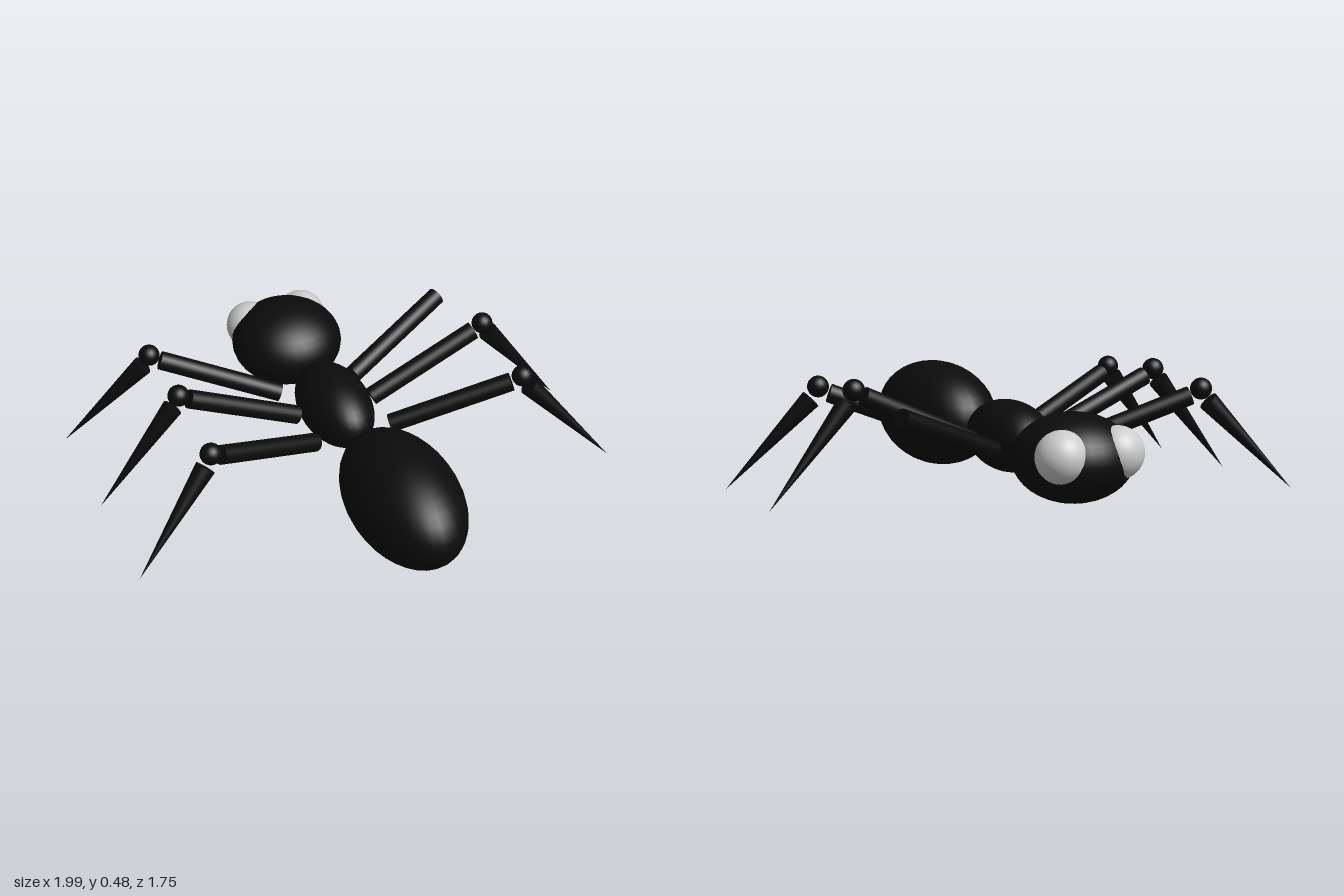
import * as THREE from 'three';

const black = new THREE.MeshStandardMaterial({ color: 0x0b0b0b });
const grey = new THREE.MeshStandardMaterial({ color: 0xcccccc });
const UP = new THREE.Vector3(0, 1, 0);

function ellipsoid(name, center, radii, material = black) {
  const mesh = new THREE.Mesh(new THREE.SphereGeometry(1, 32, 20), material);
  mesh.name = name;
  mesh.position.set(...center);
  mesh.scale.set(...radii);
  return mesh;
}

// Straight round bar from a to b, radius ra at a and rb at b
function limb(name, a, b, ra, rb) {
  const dir = b.clone().sub(a);
  const mesh = new THREE.Mesh(new THREE.CylinderGeometry(rb, ra, dir.length(), 24), black);
  mesh.name = name;
  mesh.position.copy(a).add(b).multiplyScalar(0.5);
  mesh.quaternion.setFromUnitVectors(UP, dir.normalize());
  return mesh;
}

// Leg leaving the thorax at z0, fanning by slope (dz per dx); drop lowers the knee
function leg(name, side, z0, slope, drop, whole = true) {
  const group = new THREE.Group();
  group.name = name;
  const at = (x, y) => new THREE.Vector3(side * x, y, z0 + slope * x);
  group.add(limb('upperLeg', at(0.16, 0.21 - drop * 0.3), at(0.605, 0.41 - drop), 0.037, 0.037));
  if (whole) {
    const knee = at(0.645, 0.436 - drop);
    group.add(ellipsoid('knee', knee.toArray(), [0.042, 0.042, 0.042]));
    group.add(limb('lowerLeg', at(0.672, 0.388 - drop), at(0.986, 0.008), 0.04, 0));
  }
  return group;
}

export function createModel() {
  const model = new THREE.Group();
  model.name = 'ant';
  const body = new THREE.Group();
  body.name = 'body';
  body.rotation.y = 0.0215; // slight turn of the whole insect
  model.add(body);

  // Body segments, head towards -z
  body.add(
    ellipsoid('abdomen', [0, 0.214, 0.515], [0.21, 0.212, 0.36]),
    ellipsoid('thorax', [0, 0.216, -0.14], [0.14, 0.139, 0.24]),
    ellipsoid('head', [0, 0.215, -0.65], [0.227, 0.166, 0.227])
  );

  // Eyes and legs on both sides; one front leg lacks its lower half
  for (const side of [1, -1]) {
    const s = side > 0 ? 'left' : 'right';
    body.add(ellipsoid(s + 'Eye', [side * 0.114, 0.243, -0.773], [0.099, 0.099, 0.099], grey));
    body.add(
      leg(s + 'FrontLeg', side, -0.267, -0.352, 0.033, side < 0),
      leg(s + 'MiddleLeg', side, -0.139, 0, 0),
      leg(s + 'RearLeg', side, -0.01, 0.352, 0.033)
    );
  }
  return model;
}
